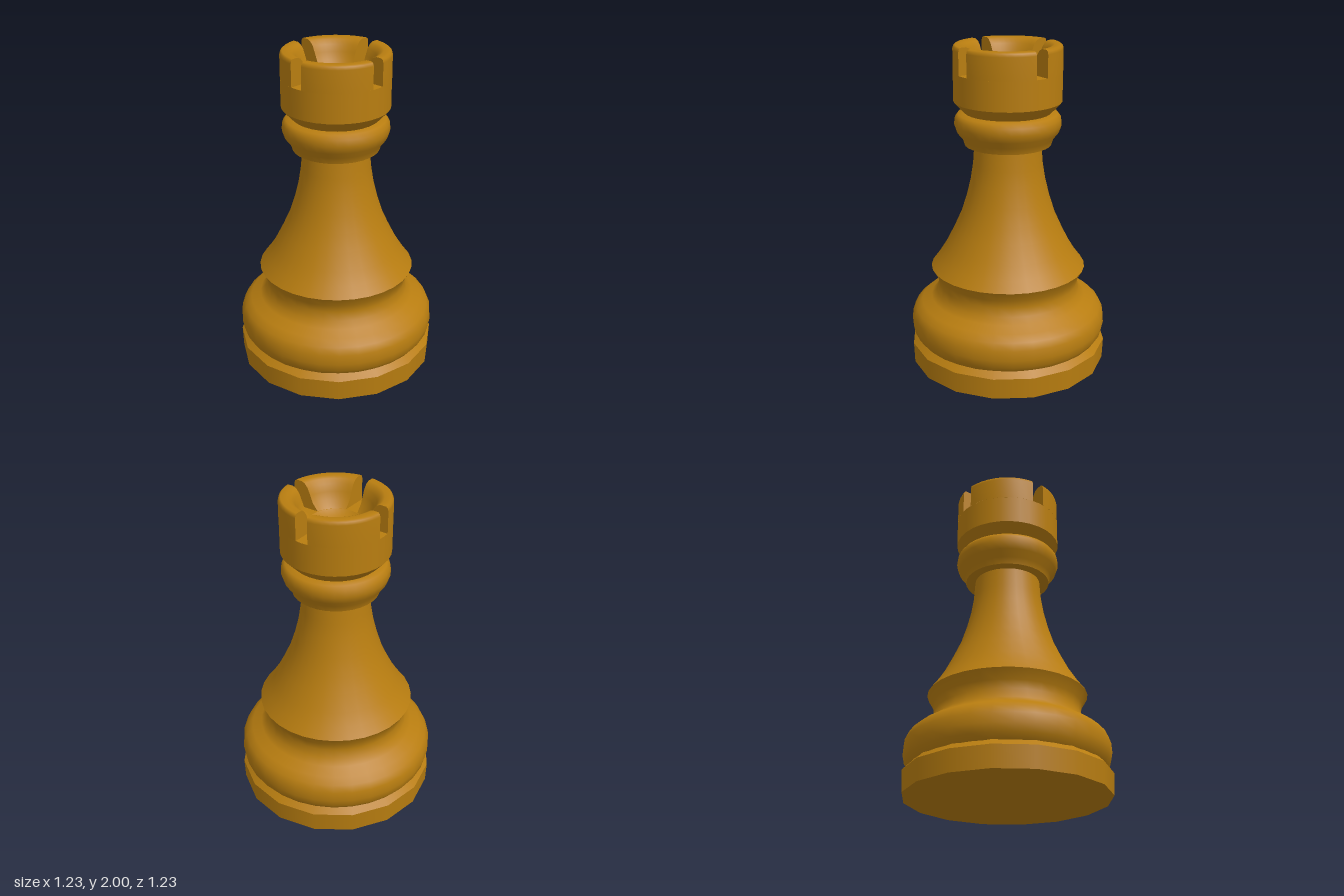
import * as THREE from 'three';

const SLOT = 0.04;      // half the width of a battlement slot
const SLOT_FLOOR = 1.84;

export function createModel() {
  const model = new THREE.Group();
  const wood = new THREE.MeshStandardMaterial({ color: 0xb87d10, side: THREE.DoubleSide });
  wood.name = 'amber wood';

  const vectors = (pts) => pts.map(([r, y]) => new THREE.Vector2(r, y));
  const add = (parent, name, geometry) => {
    const mesh = new THREE.Mesh(geometry, wood);
    mesh.name = name;
    parent.add(mesh);
    return mesh;
  };
  const turn = (name, pts, sides = 32) => add(model, name, new THREE.LatheGeometry(vectors(pts), sides));

  // Turned parts, from the foot up; each crease starts a new part
  turn('footUnderside', [[0, 0], [0.61, 0]], 16);
  turn('foot', [[0.61, 0], [0.615, 0.13]], 16);
  turn('footLedge', [[0.615, 0.13], [0.575, 0.17]], 16);
  turn('baseBulge', [
    [0.575, 0.165], [0.6, 0.2], [0.61, 0.25], [0.606, 0.31], [0.585, 0.355],
    [0.545, 0.39], [0.485, 0.42], [0.45, 0.455], [0.437, 0.51], [0.445, 0.56], [0.48, 0.62],
  ]);
  turn('body', [
    [0.48, 0.62], [0.435, 0.68], [0.385, 0.76], [0.335, 0.86], [0.29, 0.96],
    [0.255, 1.07], [0.228, 1.18], [0.212, 1.28], [0.203, 1.4],
  ]);
  turn('collarUnderside', [[0.19, 1.4], [0.262, 1.4]]);
  turn('collar', [
    [0.262, 1.4], [0.275, 1.44], [0.308, 1.48], [0.323, 1.525], [0.318, 1.565],
    [0.3, 1.59], [0.262, 1.598],
  ]);
  turn('crownFlare', [[0.262, 1.598], [0.325, 1.665]]);
  turn('crownWall', [[0.325, 1.665], [0.325, SLOT_FLOOR]]);
  turn('slotFloor', [[0.325, SLOT_FLOOR], [0.16, SLOT_FLOOR]]);
  turn('bowl', [[0.165, SLOT_FLOOR], [0.13, 1.81], [0.07, 1.79], [0, 1.785]]);

  // Four battlements: quarter rings with parallel-sided slots between them
  const profile = [
    [0.325, SLOT_FLOOR], [0.325, 1.975], [0.32, 1.992], [0.31, 2], [0.272, 2],
    [0.25, 1.99], [0.23, 1.965], [0.213, 1.925], [0.195, 1.88], [0.162, SLOT_FLOOR],
  ];
  const wall = new THREE.LatheGeometry(vectors(profile), 10, 0, Math.PI / 2);
  const pos = wall.attributes.position;
  for (let i = 0; i < pos.count; i++) {
    const r = Math.hypot(pos.getX(i), pos.getZ(i));
    const gap = Math.asin(SLOT / r);
    const t = Math.atan2(pos.getX(i), pos.getZ(i)) / (Math.PI / 2);
    const angle = gap + t * (Math.PI / 2 - 2 * gap);
    pos.setX(i, r * Math.sin(angle));
    pos.setZ(i, r * Math.cos(angle));
  }
  wall.computeVertexNormals();

  // Flat slot face cut from the ring's cross-section
  const section = new THREE.Shape(
    vectors(profile.map(([r, y]) => [Math.sqrt(r * r - SLOT * SLOT), y])),
  );
  const endA = new THREE.ShapeGeometry(section).rotateY(-Math.PI / 2).translate(SLOT, 0, 0);
  const endB = new THREE.ShapeGeometry(section).translate(0, 0, SLOT);
  endB.index.array.reverse();
  endB.computeVertexNormals();

  for (let i = 0; i < 4; i++) {
    const battlement = new THREE.Group();
    battlement.name = 'battlement' + (i + 1);
    add(battlement, 'battlementWall', wall);
    add(battlement, 'slotFaceA', endA);
    add(battlement, 'slotFaceB', endB);
    battlement.rotation.y = (i * Math.PI) / 2;
    model.add(battlement);
  }
  return model;
}
